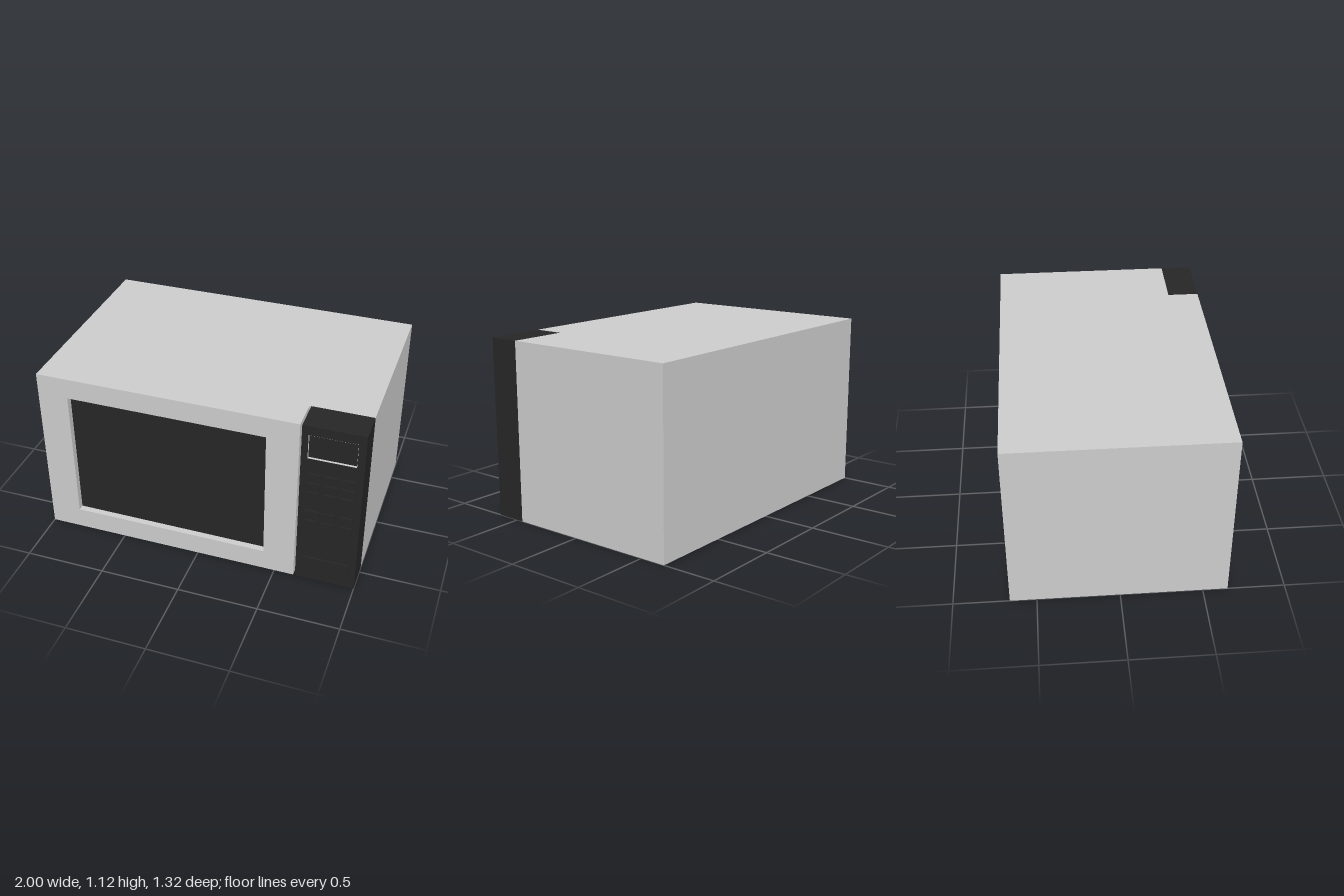
import * as THREE from 'three';

const grey = new THREE.MeshStandardMaterial({ color: 0xcccccc });
const black = new THREE.MeshStandardMaterial({ color: 0x262626 });

const HEIGHT = 1.12;
const BACK = -0.662, SEAM = 0.457, FRONT = 0.652, BUTTON_FRONT = 0.662;

// Box given by its limits on each axis
function box(name, material, [x0, x1], [y0, y1], [z0, z1]) {
  const mesh = new THREE.Mesh(new THREE.BoxGeometry(x1 - x0, y1 - y0, z1 - z0), material);
  mesh.position.set((x0 + x1) / 2, (y0 + y1) / 2, (z0 + z1) / 2);
  mesh.name = name;
  return mesh;
}

function rectangle(target, [x0, x1], [y0, y1]) {
  target.moveTo(x0, y0);
  target.lineTo(x1, y0);
  target.lineTo(x1, y1);
  target.lineTo(x0, y1);
  target.closePath();
  return target;
}

// Rectangular slab with a rectangular opening
function frame(name, material, xs, ys, holeXs, holeYs, [z0, z1]) {
  const shape = rectangle(new THREE.Shape(), xs, ys);
  shape.holes.push(rectangle(new THREE.Path(), holeXs, holeYs));
  const geometry = new THREE.ExtrudeGeometry(shape, { depth: z1 - z0, bevelEnabled: false });
  const mesh = new THREE.Mesh(geometry, material);
  mesh.position.z = z0;
  mesh.name = name;
  return mesh;
}

export function createModel() {
  const model = new THREE.Group();
  model.name = 'microwaveOven';

  // Cabinet
  model.add(box('cabinet', grey, [-1, 1], [0, HEIGHT], [BACK, SEAM]));

  // Door with a recessed window
  const door = new THREE.Group();
  door.name = 'door';
  const windowX = [-0.808, 0.428], windowY = [0.135, 0.988];
  door.add(frame('doorFrame', grey, [-1, 0.622], [0, HEIGHT], windowX, windowY, [SEAM, FRONT]));
  door.add(box('windowGlass', black, windowX, windowY, [FRONT - 0.06, FRONT - 0.04]));
  model.add(door);

  // Control panel, separated from the door by a narrow gap
  const panel = new THREE.Group();
  panel.name = 'controlPanel';
  const displayX = [0.672, 0.956], displayY = [0.9, 1.06];
  panel.add(frame('panelHousing', black, [0.633, 1], [0, HEIGHT], displayX, displayY, [SEAM, FRONT]));

  // Sunken display with a thin light rim
  const rim = 0.0015;
  panel.add(frame('displayRim', grey, displayX, displayY,
    [displayX[0] + rim, displayX[1] - rim], [displayY[0] + rim, displayY[1] - rim],
    [FRONT - 0.03, FRONT - 0.001]));
  panel.add(box('display', black, displayX, displayY, [FRONT - 0.03, FRONT - 0.015]));

  // Keypad: three rows above, two below
  for (const y of [0.779, 0.713, 0.647, 0.511, 0.44]) {
    for (const x of [0.716, 0.817, 0.917]) {
      panel.add(box('keypadButton', black,
        [x - 0.04, x + 0.04], [y - 0.022, y + 0.022], [FRONT - 0.01, BUTTON_FRONT]));
    }
  }

  // Door release
  panel.add(box('doorReleaseButton', black, displayX, [0.018, 0.175], [FRONT - 0.01, BUTTON_FRONT]));
  model.add(panel);

  return model;
}
